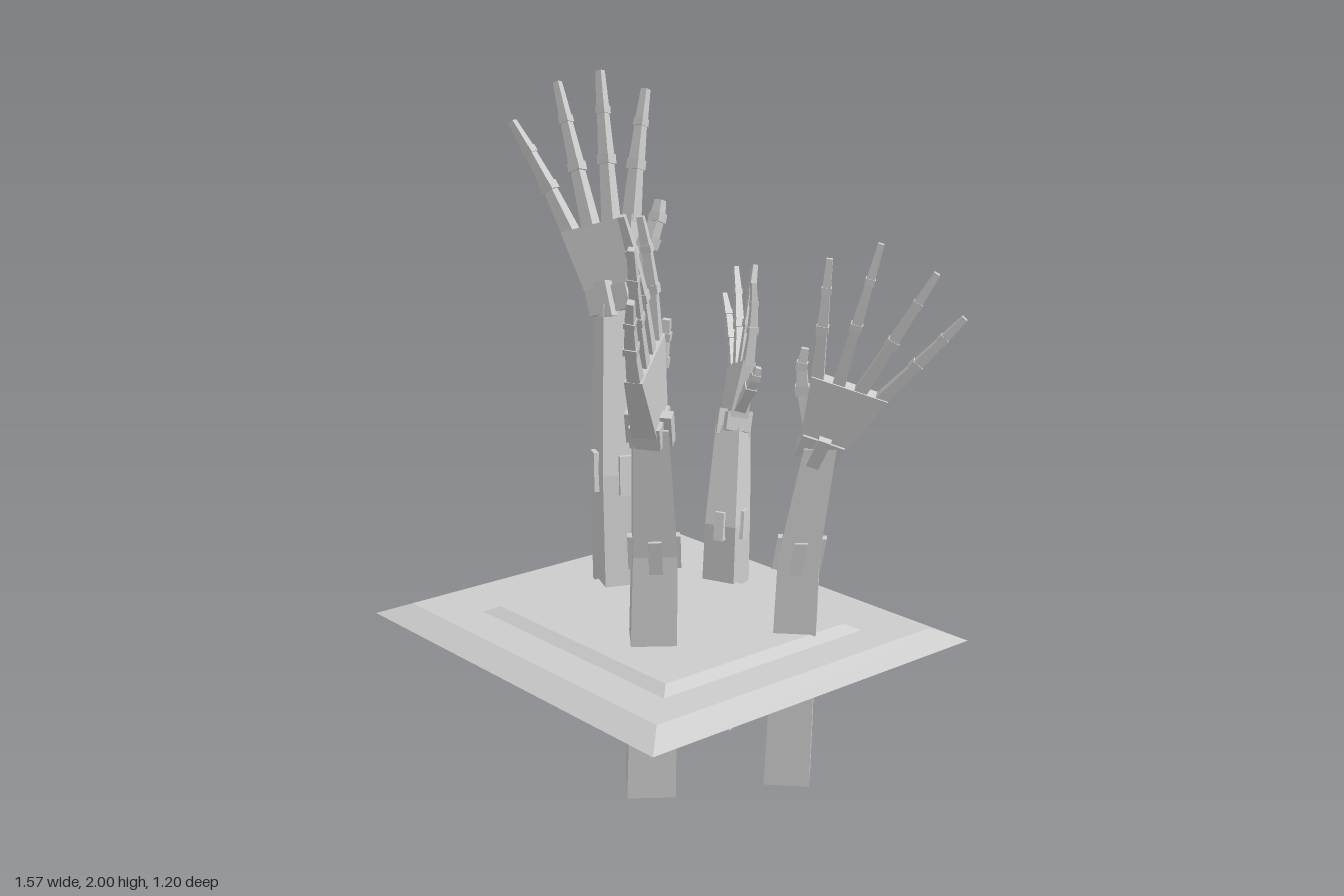
import * as THREE from 'three';

const V = (p) => new THREE.Vector3(...p);
const UP = new THREE.Vector3(0, 1, 0);

// Four-cornered section: centre c, half sizes a along u and b along v
function section(c, u, v, a, b) {
  return [[-1, -1], [1, -1], [1, 1], [-1, 1]].map(([i, j]) =>
    c.clone().addScaledVector(u, i * a).addScaledVector(v, j * b));
}

// Closed flat-faced solid through a list of sections
function loft(sections) {
  const pos = [];
  const quad = (a, b, c, d) => [a, b, c, a, c, d].forEach((p) => pos.push(p.x, p.y, p.z));
  const first = sections[0];
  const last = sections[sections.length - 1];
  quad(first[3], first[2], first[1], first[0]);
  for (let s = 0; s < sections.length - 1; s++) {
    for (let i = 0; i < 4; i++) {
      const k = (i + 1) % 4;
      quad(sections[s][i], sections[s][k], sections[s + 1][k], sections[s + 1][i]);
    }
  }
  quad(...last);
  const g = new THREE.BufferGeometry();
  g.setAttribute('position', new THREE.Float32BufferAttribute(pos, 3));
  g.computeVertexNormals();
  return g;
}

// Each arm: size, base turn, joint centres, both palm corners and the finger tips
const ARMS = [
  { name: 'tallArm', s: 1, yaw: 0.41, base: [-0.235, 0, -0.075], elbow: [-0.28, 0.82, -0.085],
    wrist: [-0.345, 1.33, -0.13], inner: [-0.32, 1.585, -0.19], outer: [-0.565, 1.51, -0.107],
    tips: [[-0.385, 1.95, -0.28], [-0.53, 2, -0.22], [-0.68, 1.96, -0.17], [-0.77, 1.84, -0.06]],
    thumb: [-0.275, 1.63, -0.245] },
  { name: 'frontArm', s: 0.855, yaw: 0.65, base: [0.165, 0, 0.165], elbow: [0.2, 0.74, 0.18],
    wrist: [0.26, 1.12, 0.245], inner: [0.245, 1.37, 0.21], outer: [0.39, 1.29, 0.41],
    tips: [[0.24, 1.685, 0.26], [0.335, 1.71, 0.4], [0.465, 1.65, 0.475], [0.51, 1.53, 0.515]],
    thumb: [0.235, 1.4, 0.165] },
  { name: 'sideArm', s: 0.805, yaw: -0.75, base: [0.37, 0, -0.19], elbow: [0.39, 0.7, -0.2],
    wrist: [0.435, 1.02, -0.23], inner: [0.445, 1.235, -0.18], outer: [0.6, 1.17, -0.32],
    tips: [[0.5, 1.56, -0.18], [0.61, 1.605, -0.26], [0.725, 1.53, -0.355], [0.775, 1.41, -0.415]],
    thumb: [0.41, 1.3, -0.185] },
  { name: 'shortArm', s: 0.72, yaw: -0.37, base: [-0.045, 0, -0.3], elbow: [-0.065, 0.65, -0.34],
    wrist: [-0.125, 0.94, -0.415], inner: [-0.065, 1.145, -0.425], outer: [-0.215, 1.09, -0.495],
    tips: [[-0.07, 1.385, -0.44], [-0.17, 1.415, -0.54], [-0.29, 1.39, -0.57], [-0.365, 1.29, -0.59]],
    thumb: [0, 1.14, -0.4] },
];

export function createModel() {
  const model = new THREE.Group();
  const grey = new THREE.MeshStandardMaterial({ color: 0xcccccc });
  grey.name = 'light grey';

  const add = (parent, name, sections) => {
    const mesh = new THREE.Mesh(loft(sections), grey);
    mesh.name = name;
    parent.add(mesh);
  };

  // Bevelled slab and the raised step on it
  const X = V([1, 0, 0]);
  const Z = V([0, 0, -1]);
  const slab = (name, cx, cz, y0, y1, a, b, bevel) => add(model, name, [
    section(V([cx, y0, cz]), X, Z, a, b),
    section(V([cx, y1, cz]), X, Z, a - bevel, b - bevel),
  ]);
  slab('basePlate', 0.04, 0, 0.42, 0.455, 0.65, 0.597, 0.08);
  slab('raisedStep', 0.08, 0.02, 0.452, 0.474, 0.42, 0.38, 0.042);

  // Three tapering bones bent along a curve, with a block on each joint
  function finger(parent, name, from, control, to, side, r) {
    const curve = new THREE.QuadraticBezierCurve3(from, control, to);
    const group = new THREE.Group();
    group.name = name;
    const stops = [0, 0.42, 0.74, 1];
    for (let i = 0; i < 3; i++) {
      const p = curve.getPoint(stops[i]);
      const q = curve.getPoint(stops[i + 1]);
      const d = q.clone().sub(p).normalize();
      const u = side.clone().addScaledVector(d, -side.dot(d)).normalize();
      const v = d.clone().cross(u);
      const r0 = r * (1 - 0.17 * i);
      const r1 = r0 * 0.72;
      add(group, 'fingerBone', [section(p, u, v, r0, r0), section(q, u, v, r1, r1)]);
      if (i > 0) {
        const k = r0 * 1.15;
        const h = r0 * 0.8;
        add(group, 'knuckle', [
          section(p.clone().addScaledVector(d, -h), u, v, k, k),
          section(p.clone().addScaledVector(d, h), u, v, k, k),
        ]);
      }
    }
    parent.add(group);
  }

  for (const arm of ARMS) {
    const { s } = arm;
    const group = new THREE.Group();
    group.name = arm.name;
    model.add(group);
    const [base, elbow, wrist, inner, outer] =
      [arm.base, arm.elbow, arm.wrist, arm.inner, arm.outer].map(V);

    // Upper arm and forearm share one turned square section
    const u = V([Math.cos(arm.yaw), 0, Math.sin(arm.yaw)]);
    const v = UP.clone().cross(u);
    const sq = (c, r) => section(c, u, v, r * s, r * s);
    add(group, 'upperArm', [sq(base, 0.082), sq(elbow, 0.072)]);
    add(group, 'forearm', [sq(elbow, 0.072), sq(wrist, 0.056)]);

    // Hand axes: across the knuckles, along the palm and out of the palm
    const across = inner.clone().sub(outer);
    const half = across.length() / 2;
    across.normalize();
    const top = inner.clone().add(outer).multiplyScalar(0.5);
    const along = top.clone().sub(wrist).normalize();
    const out = along.clone().cross(across).normalize();

    // Crossed blocks at the elbow and wrist
    const block = (name, c, axisU, axisV, axis, a, b, h) => add(group, name, [
      section(c.clone().addScaledVector(axis, -h * s), axisU, axisV, a * s, b * s),
      section(c.clone().addScaledVector(axis, h * s), axisU, axisV, a * s, b * s),
    ]);
    const shin = wrist.clone().sub(elbow).normalize();
    block('elbowBlock', elbow, u, v, shin, 0.022, 0.086, 0.06);
    block('elbowPin', elbow, u, v, shin, 0.086, 0.022, 0.06);
    block('wristBlock', wrist, across, out, along, 0.075, 0.05, 0.04);
    block('wristPin', wrist, across, out, along, 0.022, 0.075, 0.055);

    // Palm widens from the wrist to the knuckles
    add(group, 'palm', [
      section(wrist.clone().addScaledVector(along, -0.02 * s), across, out, 0.068 * s, 0.042 * s),
      section(top, across, out, half, 0.028 * s),
    ]);

    // Fingers fan out and curl towards their tips
    arm.tips.forEach((tip, i) => {
      const from = inner.clone().lerp(outer, 0.09 + i * 0.273).addScaledVector(along, -0.015 * s);
      const to = V(tip);
      const reach = to.clone().sub(from);
      const control = from.clone().addScaledVector(reach, 0.52)
        .addScaledVector(out, -0.45 * reach.dot(out));
      finger(group, 'finger' + (i + 1), from, control, to, across, 0.022 * s);
    });

    // Thumb starts low on the inner edge of the palm
    const root = wrist.clone().addScaledVector(across, 0.06 * s).addScaledVector(along, 0.06 * s);
    const tip = V(arm.thumb);
    const bend = root.clone().lerp(tip, 0.55).addScaledVector(across, 0.045 * s);
    finger(group, 'thumb', root, bend, tip, across, 0.026 * s);
  }
  return model;
}
